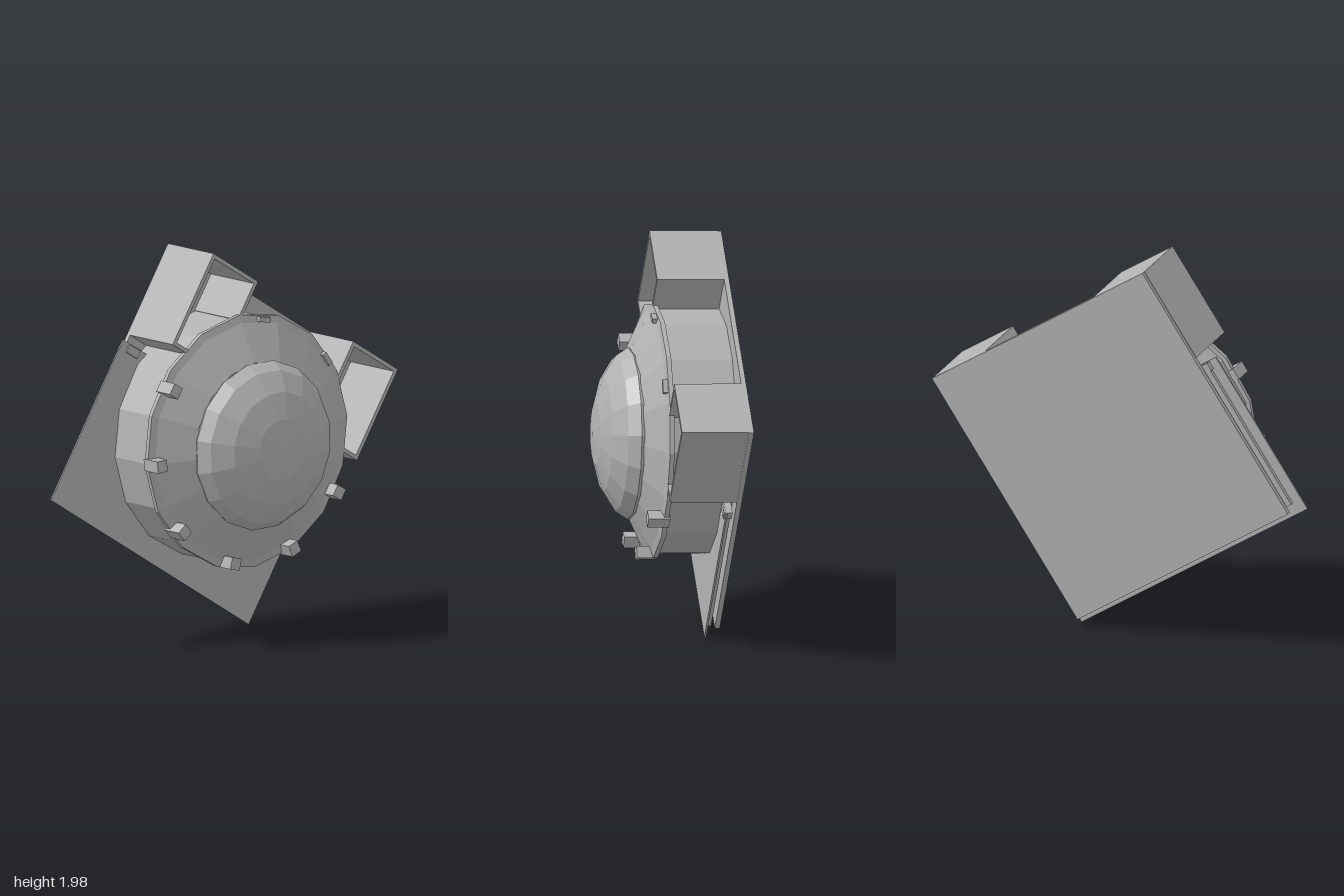
import * as THREE from 'three';

const DEG = Math.PI / 180;

export function createModel() {
  const model = new THREE.Group();
  model.name = 'domeUnit';
  const grey = new THREE.MeshStandardMaterial({ color: 0xb2b2b2 });
  grey.name = 'grey';
  grey.flatShading = true;
  grey.side = THREE.DoubleSide;

  // Everything hangs on one frame, turned clockwise and leaning back slightly.
  const frame = new THREE.Group();
  frame.name = 'tiltedFrame';
  frame.rotation.order = 'ZXY';
  frame.rotation.set(-0.045, 0, -33.2 * DEG);
  frame.position.set(0.032, 1.017, 0);
  model.add(frame);

  const add = (name, geometry) => {
    const mesh = new THREE.Mesh(geometry, grey);
    mesh.name = name;
    frame.add(mesh);
    return mesh;
  };
  // Box given by its lower and upper corner.
  const box = (name, x0, x1, y0, y1, z0, z1) => {
    const mesh = add(name, new THREE.BoxGeometry(Math.abs(x1 - x0), y1 - y0, z1 - z0));
    mesh.position.set((x0 + x1) / 2, (y0 + y1) / 2, (z0 + z1) / 2);
    return mesh;
  };
  // Sixteen-sided turned part, its axis along z; profile is [radius, z].
  const turned = (name, profile, start) => {
    const points = profile.map(([r, z]) => new THREE.Vector2(r, z));
    const geometry = new THREE.LatheGeometry(points, 16, start * DEG);
    geometry.rotateX(Math.PI / 2);
    return add(name, geometry);
  };

  // Plates
  box('backPlate', -0.685, 0.69, -0.69, 0.71, -0.3, -0.275);
  box('frontPlate', -0.755, 0.72, -0.72, 0.162, -0.232, -0.223);

  // Drum with a lipped rim and a sloping collar
  turned('drum', [[0.615, -0.28], [0.615, 0.035], [0.638, 0.035], [0.638, 0.058], [0.6, 0.068], [0.41, 0.16]], 13.7);

  // Faceted dome
  const dome = turned('dome', [[0.42, 0.15], [0.425, 0.165], [0.385, 0.225], [0.285, 0.288], [0.155, 0.327], [0, 0.34]], -0.5);
  dome.position.set(0.014, -0.002, 0);

  // Open corner boxes and slide rails, mirrored left and right
  const t = 0.02;
  for (const s of [-1, 1]) {
    box('cornerBoxOuterWall', s * (0.688 - t), s * 0.688, 0.21, 0.71, -0.28, 0.06);
    box('cornerBoxTopWall', s * 0.355, s * 0.688, 0.71 - t, 0.71, -0.28, 0.06);
    box('cornerBoxInnerWall', s * 0.355, s * (0.355 + t), 0.49, 0.71, -0.28, 0.06);
    box('cornerBoxBottomWall', s * 0.56, s * 0.688, 0.21, 0.21 + t, -0.28, 0.06);
    box('slideRail', s * 0.67, s * 0.7, -0.66, 0.15, -0.252, -0.232);
    box('railStop', s * 0.63, s * 0.71, 0.115, 0.158, -0.258, -0.215);
  }

  // Clips around the rim: standing blocks below, low pads above
  const clip = (name, angle, radius, radial, across, z0, z1) => {
    const a = (angle + 33.2) * DEG;
    const mesh = add(name, new THREE.BoxGeometry(radial, across, z1 - z0));
    mesh.position.set(radius * Math.cos(a), radius * Math.sin(a), (z0 + z1) / 2);
    mesh.rotation.z = a;
  };
  for (let i = 0; i < 6; i++) clip('rimClip', 146.6 + 36.2 * i, 0.607, 0.06, 0.06, 0.03, 0.138);
  for (const angle of [34.3, 79.4]) clip('rimPad', angle, 0.607, 0.025, 0.07, 0.04, 0.085);

  return model;
}
